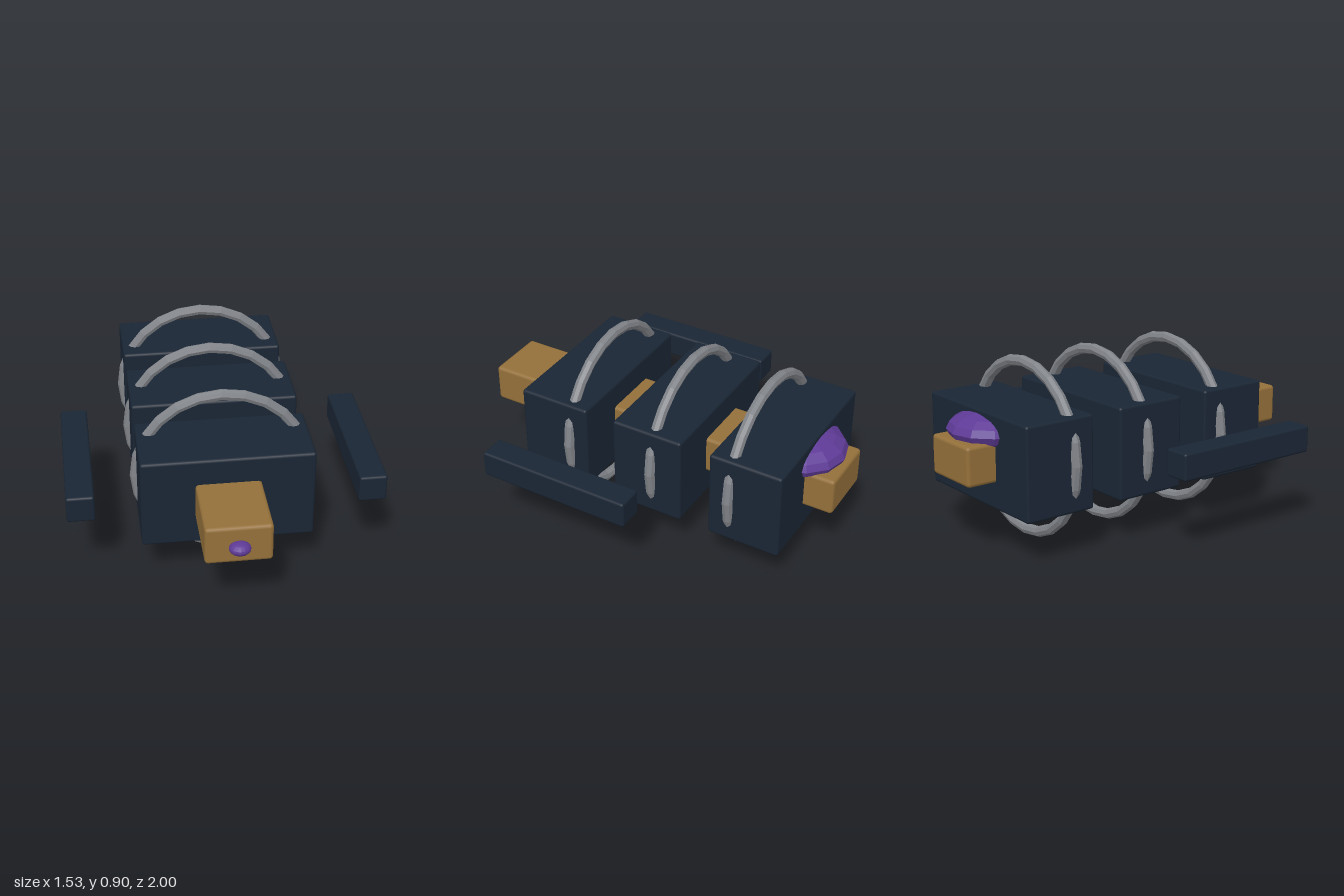
import * as THREE from 'three';
import { RoundedBoxGeometry } from 'three/addons/geometries/RoundedBoxGeometry.js';

const paint = (color, flatShading = false) => new THREE.MeshStandardMaterial({ color, flatShading });

export function createModel() {
  const model = new THREE.Group();
  const navy = paint(0x1a2635);
  const gold = paint(0x94703a);
  const purple = paint(0x5e3a96, true);
  const metal = paint(0x808388, true);

  const add = (name, geometry, material, x, y, z) => {
    const mesh = new THREE.Mesh(geometry, material);
    mesh.name = name;
    mesh.position.set(x, y, z);
    model.add(mesh);
    return mesh;
  };
  const box = (w, h, d, bevel) => new RoundedBoxGeometry(w, h, d, 2, bevel);

  // long central spine running through all modules
  add('spine', box(0.315, 0.195, 1.935, 0.018), gold, 0, 0.452, -0.0325);

  // three hull modules, each with a hoop around it
  const hull = box(0.83, 0.46, 0.374, 0.014);
  const hoop = new THREE.TorusGeometry(0.421, 0.027, 8, 24);
  const modules = [[0.392, 0.306], [-0.134, -0.157], [-0.662, -0.58]];
  for (const [hullZ, hoopZ] of modules) {
    add('hullModule', hull, navy, 0, 0.45, hullZ);
    add('hoop', hoop, metal, 0, 0.448, hoopZ);
  }

  // free-standing side pods
  const pod = box(0.134, 0.134, 0.795, 0.012);
  add('leftPod', pod, navy, 0.697, 0.452, 0.179);
  add('rightPod', pod, navy, -0.697, 0.452, 0.179);

  // flattened rear dome, half sunk into the last module
  const ball = new THREE.SphereGeometry(1, 12, 8);
  add('rearDome', ball, purple, 0, 0.577, -0.76).scale.set(0.22, 0.09, 0.22);

  // small lens on the nose
  const lens = new THREE.SphereGeometry(1, 16, 10);
  add('noseLens', lens, purple, 0, 0.451, 0.955).scale.set(0.051, 0.031, 0.045);

  return model;
}
